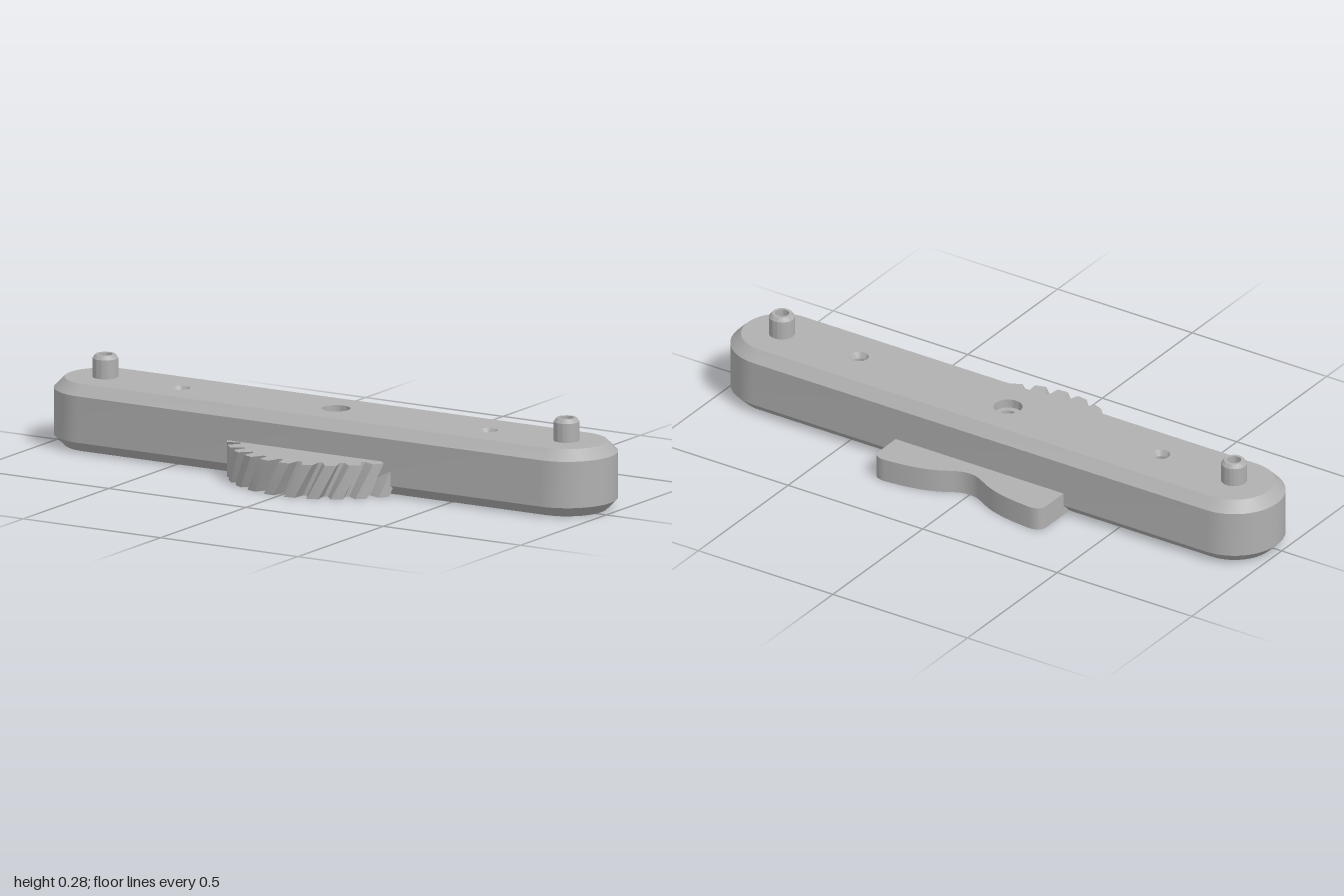
import * as THREE from 'three';
import { toCreasedNormals } from 'three/addons/utils/BufferGeometryUtils.js';

const HEIGHT = 0.213, CHAMFER = 0.033, RADIUS = 0.158, BORE = 0.12;
const POST_X = 0.84, SCREW_X = 0.56;

export function createModel() {
  const group = new THREE.Group();
  const grey = new THREE.MeshStandardMaterial({ color: 0xb0b0b0, side: THREE.DoubleSide });
  grey.name = 'grey plastic';

  const add = (name, geometry, x = 0, y = 0, z = 0) => {
    const mesh = new THREE.Mesh(toCreasedNormals(geometry, 0.45), grey);
    mesh.name = name;
    mesh.position.set(x, y, z);
    group.add(mesh);
  };
  const lathe = (profile, segments = 40) =>
    new THREE.LatheGeometry(profile.map(([r, y]) => new THREE.Vector2(r, y)), segments);
  const circle = (x, y, r, n = 40) => new THREE.Path(Array.from({ length: n }, (_, i) => {
    const a = (i / n) * Math.PI * 2;
    return new THREE.Vector2(x + r * Math.sin(a), y + r * Math.cos(a));
  }));

  // Stadium outline of the bar, pulled in by a given inset
  const HALF = 24;
  const stadium = (inset) => {
    const pts = [];
    for (const side of [1, -1]) {
      for (let i = 0; i <= HALF; i++) {
        const a = (i / HALF - 0.5) * Math.PI + (side < 0 ? Math.PI : 0);
        const r = RADIUS - inset;
        pts.push(new THREE.Vector2(side * (1 - RADIUS) + r * Math.cos(a), r * Math.sin(a)));
      }
    }
    return pts;
  };

  // Bar wall with chamfered top and bottom edges
  const positions = [], indices = [];
  const levels = [[0, CHAMFER], [CHAMFER, 0], [HEIGHT - CHAMFER, 0], [HEIGHT, CHAMFER]];
  const count = 2 * (HALF + 1);
  levels.forEach(([y, inset], k) => {
    stadium(inset).forEach((p, i) => {
      positions.push(p.x, y, -p.y);
      if (k === levels.length - 1) return;
      const a = k * count + i, b = k * count + (i + 1) % count;
      indices.push(a, b, b + count, a, b + count, a + count);
    });
  });
  const wall = new THREE.BufferGeometry();
  wall.setAttribute('position', new THREE.Float32BufferAttribute(positions, 3));
  wall.setIndex(indices);
  wall.computeVertexNormals();
  add('barWall', wall);

  // Bar faces, pierced by the holes
  const topShape = new THREE.Shape(stadium(CHAMFER));
  topShape.holes.push(circle(0, 0, 0.045));
  const bottomShape = new THREE.Shape(stadium(CHAMFER));
  bottomShape.holes.push(circle(0, 0, BORE));
  for (const s of [-1, 1]) {
    topShape.holes.push(circle(s * POST_X, 0, 0.03), circle(s * SCREW_X, -0.01, 0.03));
    bottomShape.holes.push(circle(s * POST_X, 0, 0.037, 6));
  }
  add('barTop', new THREE.ShapeGeometry(topShape).rotateX(-Math.PI / 2), 0, HEIGHT);
  add('barBottom', new THREE.ShapeGeometry(bottomShape).rotateX(Math.PI / 2));

  // Stepped bore through the centre
  add('centreBore', lathe([[0.045, HEIGHT], [0.045, 0.185], [0.025, 0.185], [0.025, 0.16],
    [BORE, 0.16], [BORE, 0]]));

  // Hollow posts, their hexagonal pockets below, and the blind screw holes
  for (const s of [-1, 1]) {
    const side = s > 0 ? 'left' : 'right';
    add(side + 'Post', lathe([[0.04, 0.2], [0.04, 0.273], [0.031, 0.285], [0.022, 0.285],
      [0.022, 0.1]]), s * POST_X);
    add(side + 'NutPocket', lathe([[0.022, 0.1], [0.037, 0.1], [0.037, 0]], 6), s * POST_X);
    add(side + 'ScrewHole', lathe([[0.03, HEIGHT], [0.02, 0.195], [0.02, 0.1], [0, 0.1]]),
      s * SCREW_X, 0, 0.01);
  }

  // Helical gear sector: toothed outline, twisted as it rises
  const GEAR_H = 0.107, TWIST = 0.17, TIP = 0.337, ROOT = 0.295;
  const pitch = (Math.PI * 2) / 28;
  const gearShape = new THREE.Shape();
  const polar = (r, a) => [r * Math.sin(a), r * Math.cos(a)];
  const phase = 0.06;
  gearShape.moveTo(...polar(BORE, -8 * pitch));
  for (let i = -8; i < 8; i++) {
    const a = i * pitch + phase;
    for (const [f, r] of [[-0.4, ROOT], [-0.24, TIP], [0, TIP], [0.24, TIP], [0.4, ROOT]]) {
      gearShape.lineTo(...polar(r, a + f * pitch));
    }
  }
  for (let i = 8; i > -8; i -= 0.5) gearShape.lineTo(...polar(BORE, i * pitch));
  const gear = new THREE.ExtrudeGeometry(gearShape, { depth: GEAR_H, steps: 6, bevelEnabled: false });
  gear.rotateX(Math.PI / 2).translate(0, GEAR_H, 0);
  const p = gear.attributes.position;
  for (let i = 0; i < p.count; i++) {
    const a = TWIST * (p.getY(i) / GEAR_H - 1);
    const x = p.getX(i), z = p.getZ(i);
    p.setXYZ(i, x * Math.cos(a) + z * Math.sin(a), p.getY(i), z * Math.cos(a) - x * Math.sin(a));
  }
  gear.computeVertexNormals();
  add('gearSector', gear);

  // Rear plate with a wavy edge, mirrored about the middle
  const TAIL_H = 0.075, W = 0.312;
  const tail = new THREE.Shape();
  tail.moveTo(-W, 0.12);
  tail.lineTo(-W, -0.25);
  tail.quadraticCurveTo(-W, -0.291, -0.262, -0.287);
  tail.bezierCurveTo(-0.06, -0.272, -0.07, -0.214, 0, -0.214);
  tail.bezierCurveTo(0.07, -0.214, 0.06, -0.272, 0.262, -0.287);
  tail.quadraticCurveTo(W, -0.291, W, -0.25);
  tail.lineTo(W, 0.12);
  tail.closePath();
  tail.holes.push(circle(0, 0, BORE - 0.0005));
  const plate = new THREE.ExtrudeGeometry(tail, { depth: TAIL_H, bevelEnabled: false, curveSegments: 16 });
  add('rearPlate', plate.rotateX(Math.PI / 2), 0, TAIL_H);

  group.children.forEach((mesh) => { mesh.position.z -= 0.025; });
  return group;
}
